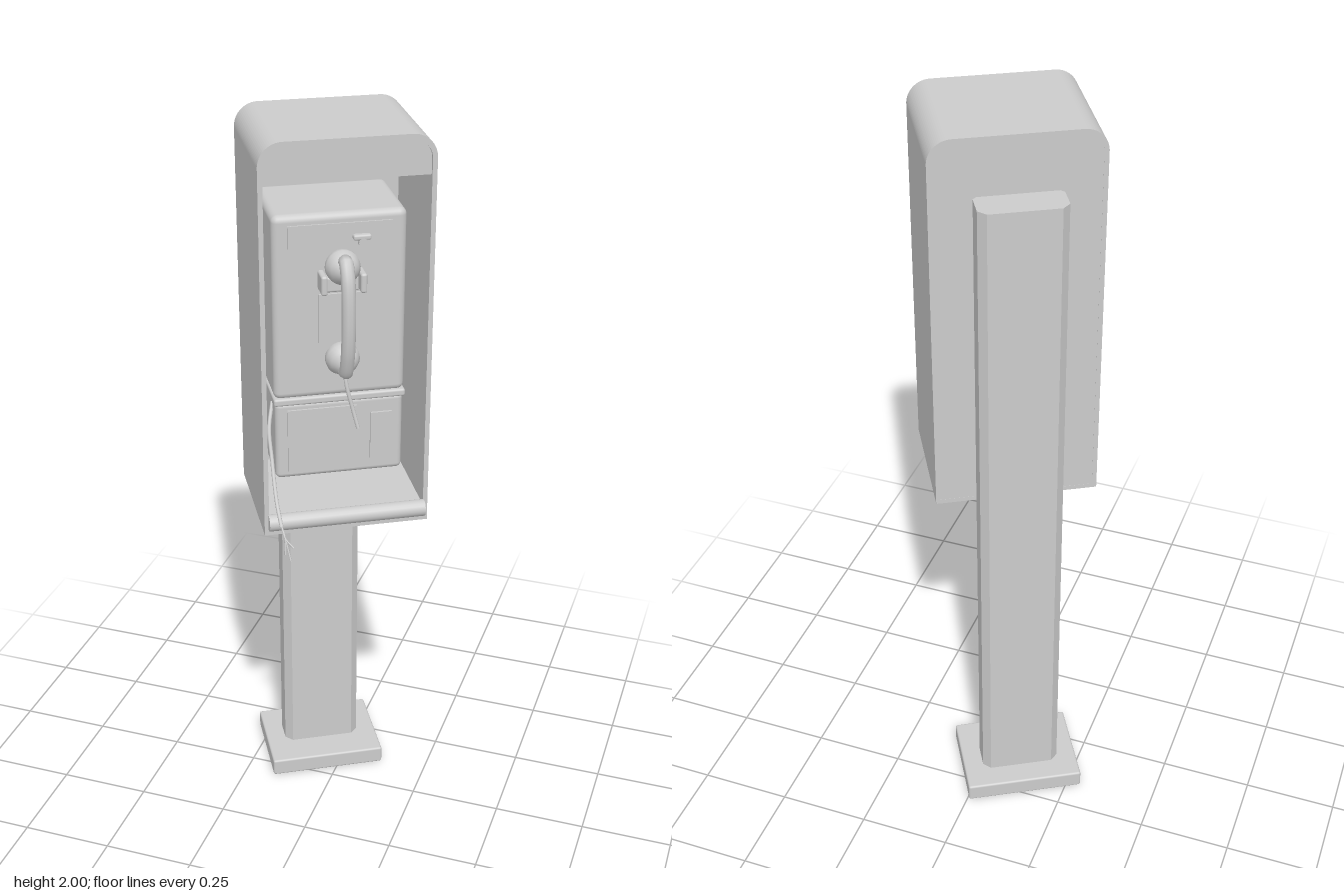
import * as THREE from 'three';
import { RoundedBoxGeometry } from 'three/addons/geometries/RoundedBoxGeometry.js';

const grey = new THREE.MeshStandardMaterial({ color: 0xcccccc });
grey.name = 'grey paint';

export function createModel() {
  const model = new THREE.Group();
  model.name = 'payPhone';
  // The whole booth stands turned on its plinth
  const booth = new THREE.Group();
  booth.name = 'booth';
  booth.position.set(0.014, 0, 0.036);
  booth.rotation.y = Math.PI / 6;
  model.add(booth);

  const add = (name, geo, x = 0, y = 0, z = 0, parent = booth) => {
    const m = new THREE.Mesh(geo, grey);
    m.name = name;
    m.position.set(x, y, z);
    parent.add(m);
    return m;
  };
  // Box given by its limits; r rounds the edges
  const block = (name, x0, x1, y0, y1, z0, z1, r = 0) => {
    const s = [x1 - x0, y1 - y0, z1 - z0];
    const geo = r ? new RoundedBoxGeometry(...s, 3, r) : new THREE.BoxGeometry(...s);
    return add(name, geo, (x0 + x1) / 2, (y0 + y1) / 2, (z0 + z1) / 2);
  };
  const extrude = (shape, depth) =>
    new THREE.ExtrudeGeometry(shape, { depth, bevelEnabled: false, curveSegments: 10 });
  // Upright outline with two rounded top corners
  const arch = (Type, w, y0, y1, r) => {
    const s = new Type();
    s.moveTo(-w, y0);
    s.lineTo(w, y0);
    s.lineTo(w, y1 - r);
    s.absarc(w - r, y1 - r, r, 0, Math.PI / 2, false);
    s.lineTo(-w + r, y1);
    s.absarc(-w + r, y1 - r, r, Math.PI / 2, Math.PI, false);
    s.closePath();
    return s;
  };
  const tube = (name, pts, r, seg = 24) => {
    const curve = new THREE.CatmullRomCurve3(pts.map(p => new THREE.Vector3(...p)));
    return add(name, new THREE.TubeGeometry(curve, seg, r, 10, false));
  };

  // Base plate and eight-sided post
  block('basePlate', -0.164, 0.164, 0, 0.05, -0.326, -0.07, 0.006);
  const c = 0.02, w = 0.109, d = 0.05;
  const post = new THREE.Shape([
    [-w + c, -d], [w - c, -d], [w, -d + c], [w, d - c],
    [w - c, d], [-w + c, d], [-w, d - c], [-w, -d + c],
  ].map(p => new THREE.Vector2(...p)));
  const postMesh = add('post', extrude(post, 1.81), 0, 0.04, -0.211);
  postMesh.rotation.x = -Math.PI / 2;

  // Hood: hollow shell, back panel, header and shelf
  const shell = arch(THREE.Shape, 0.214, 0.97, 2, 0.06);
  shell.holes.push(arch(THREE.Path, 0.202, 0.982, 1.988, 0.05));
  add('hoodShell', extrude(shell, 0.344), 0, 0, -0.172);
  add('hoodBack', extrude(arch(THREE.Shape, 0.206, 0.975, 1.992, 0.053), 0.017), 0, 0, -0.1715);
  add('header', extrude(arch(THREE.Shape, 0.204, 1.898, 1.99, 0.052), 0.012), 0, 0, 0.152);
  block('shelf', -0.203, 0.203, 0.98, 1.015, -0.16, 0.174);
  const lip = add('shelfLip', new THREE.CylinderGeometry(0.022, 0.022, 0.408, 20), 0, 1.008, 0.176);
  lip.rotation.z = Math.PI / 2;

  // Telephone body in two sections with a ridge between
  const face = 0.083;
  block('upperBody', -0.168, 0.168, 1.305, 1.79, -0.16, face, 0.018);
  block('bodyRidge', -0.17, 0.17, 1.29, 1.31, -0.16, face + 0.006, 0.006);
  block('lowerBody', -0.166, 0.166, 1.08, 1.295, -0.16, face - 0.002, 0.014);

  // Plates on the telephone face
  block('topPlate', -0.13, 0.13, 1.685, 1.765, face - 0.002, face + 0.004);
  block('dialPlate', -0.055, 0.055, 1.455, 1.585, face - 0.002, face + 0.006);
  block('coinDoor', -0.135, 0.045, 1.095, 1.275, face - 0.005, face + 0.003);
  block('coinReturn', 0.08, 0.136, 1.12, 1.25, face - 0.005, face + 0.004);
  block('coinSlot', 0.03, 0.075, 1.722, 1.736, face, face + 0.018, 0.005);
  const knob = add('returnLever', new THREE.CylinderGeometry(0.012, 0.012, 0.02, 16), 0.055, 1.715, face + 0.008);
  knob.rotation.x = Math.PI / 2;

  // Cradle with two hooks
  block('cradle', -0.045, 0.045, 1.595, 1.635, face - 0.002, face + 0.022, 0.006);
  for (const s of [-1, 1])
    block('cradleHook', s * 0.049 - 0.008, s * 0.049 + 0.008, 1.6, 1.65, face, face + 0.055, 0.006);

  // Handset: curved grip with domed ear and mouth caps
  tube('handsetGrip', [
    [0, 1.668, 0.128], [0, 1.69, 0.15], [0, 1.655, 0.176], [0, 1.55, 0.187],
    [0, 1.45, 0.176], [0, 1.4, 0.152], [0, 1.42, 0.128],
  ], 0.018, 40);
  const cap = [[0, 0], [0.038, 0], [0.043, 0.006], [0.043, 0.022], [0.034, 0.04], [0.018, 0.055], [0, 0.058]]
    .map(p => new THREE.Vector2(...p));
  for (const [name, y, tilt] of [['earCap', 1.662, -0.12], ['mouthCap', 1.425, 0.12]]) {
    const m = add(name, new THREE.LatheGeometry(cap, 24), 0, y, 0.1);
    m.rotation.x = Math.PI / 2 + tilt;
  }

  // Torn cord: stub under the handset and a loose length over the shelf
  tube('cordStub', [[0, 1.4, 0.14], [0.004, 1.36, 0.148], [0.018, 1.3, 0.155], [0.03, 1.25, 0.165]], 0.005);
  tube('looseCord', [
    [-0.165, 1.28, 0.03], [-0.18, 1.22, 0.065], [-0.18, 1.15, 0.1],
    [-0.18, 1.06, 0.16], [-0.176, 1.01, 0.205],
  ], 0.005);
  for (const [x, y, z] of [[-0.16, 0.93, 0.245], [-0.172, 0.945, 0.235], [-0.152, 0.965, 0.24]])
    tube('frayedWire', [[-0.176, 1.012, 0.204], [-0.17, 0.985, 0.222], [x, y, z]], 0.0022, 8);

  return model;
}
